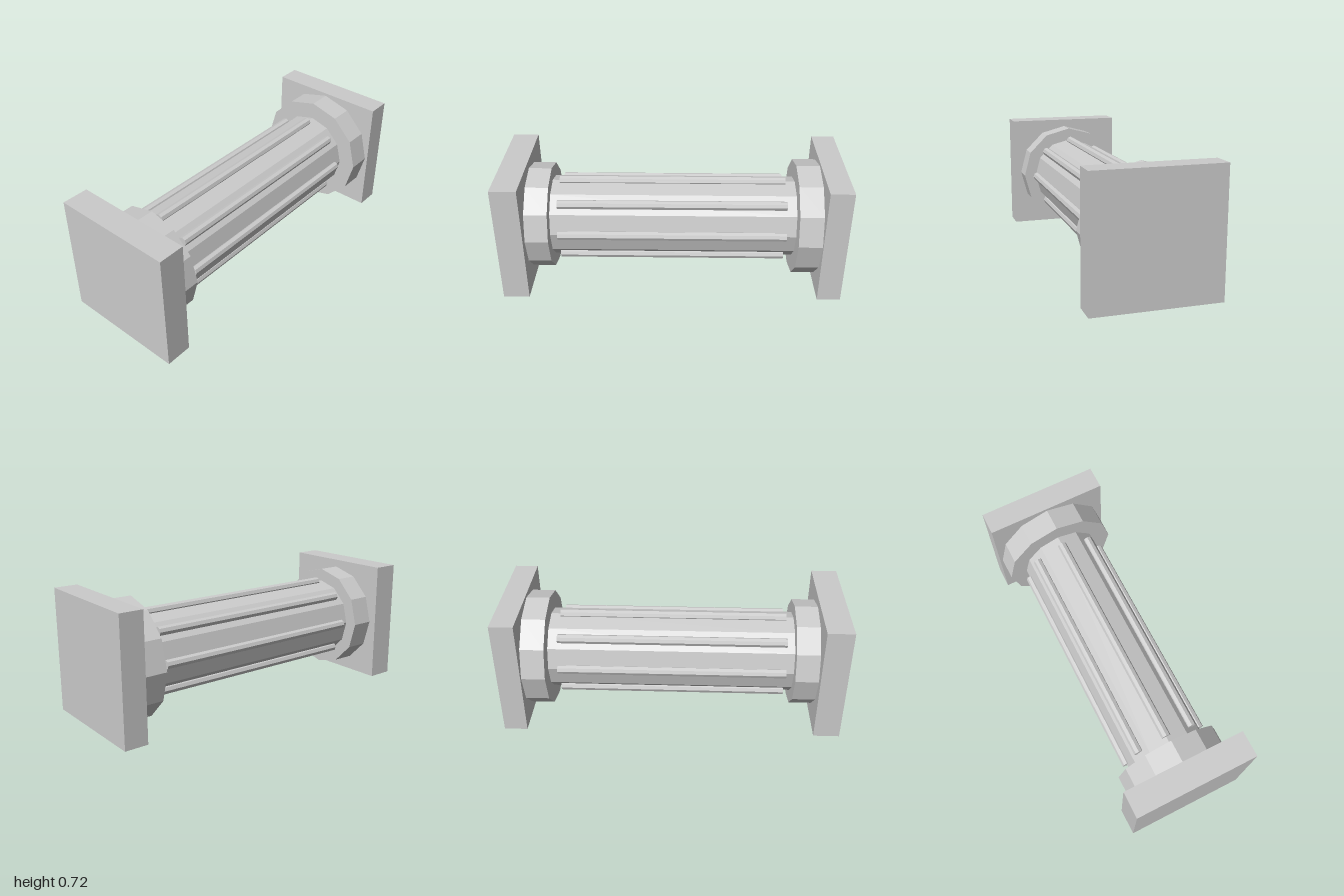
import * as THREE from 'three';

const AXIS_Y = 0.361; // height of the column's axis

export function createModel() {
  const model = new THREE.Group();
  const material = new THREE.MeshStandardMaterial({ color: 0xcccccc, flatShading: true });

  function add(name, geometry, x, y, z) {
    const mesh = new THREE.Mesh(geometry, material);
    mesh.name = name;
    mesh.position.set(x, y, z);
    model.add(mesh);
  }

  // Square slab spanning z0..z1
  function slab(name, z0, z1) {
    add(name, new THREE.BoxGeometry(0.72, 0.722, z1 - z0), 0, AXIS_Y, (z0 + z1) / 2);
  }

  // Faceted drum lying along z, spanning z0..z1
  function drum(name, radius, z0, z1, sides = 12, x = 0, y = 0) {
    const geometry = new THREE.CylinderGeometry(radius, radius, z1 - z0, sides).rotateX(Math.PI / 2);
    add(name, geometry, x, AXIS_Y + y, (z0 + z1) / 2);
  }

  // End slabs
  slab('frontSlab', 0.847, 1);
  slab('backSlab', -1, -0.863);

  // Collars and shaft
  drum('frontCollar', 0.315, 0.712, 0.847);
  drum('backCollar', 0.344, -0.863, -0.725);
  drum('shaft', 0.238, -0.725, 0.712);

  // Eight ribs around the shaft
  for (let i = 0; i < 8; i++) {
    const a = (i * Math.PI) / 4;
    drum('rib' + (i + 1), 0.027, -0.667, 0.667, 8, 0.238 * Math.cos(a), 0.238 * Math.sin(a));
  }

  return model;
}
